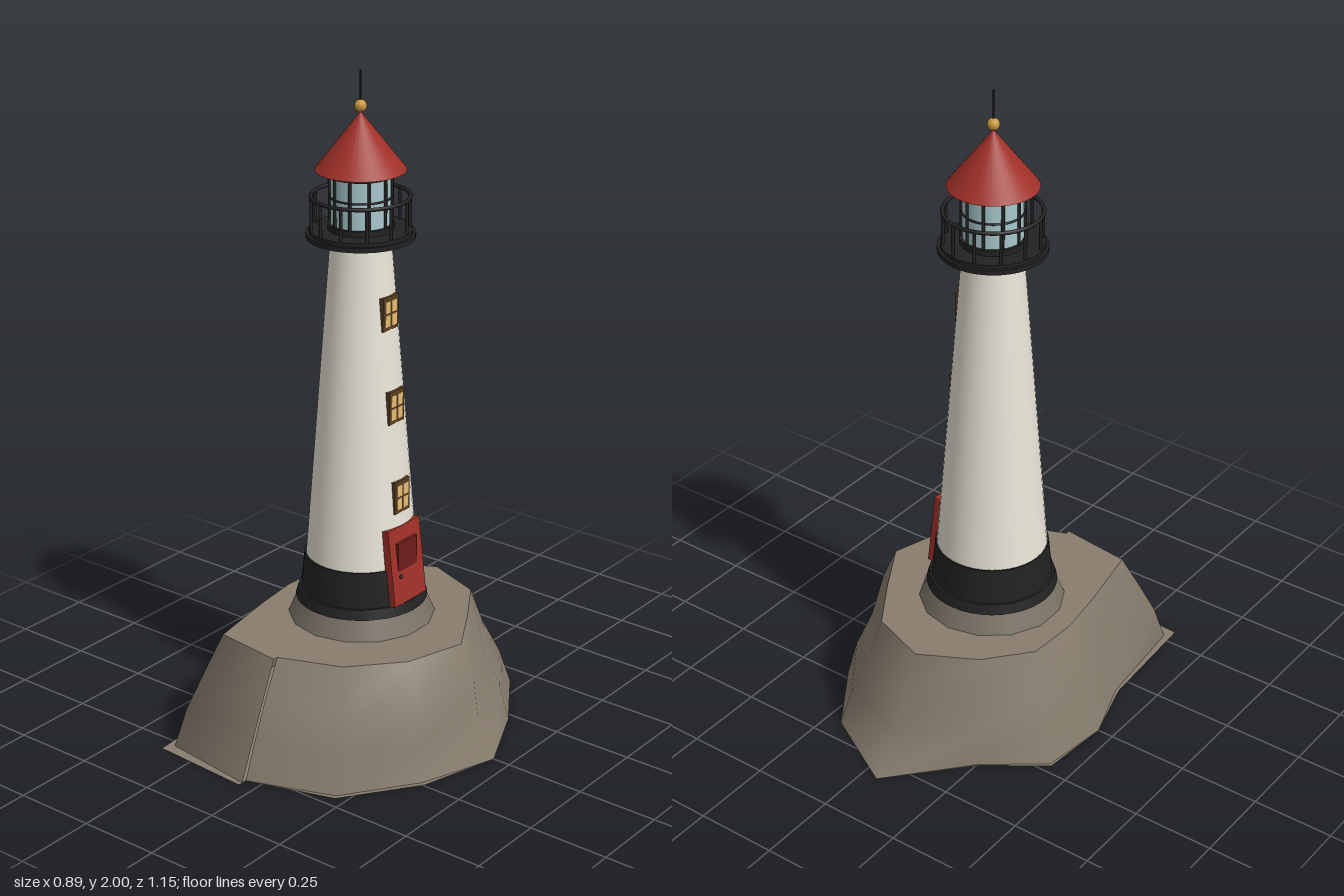
import * as THREE from 'three';

const mat = (color, side = THREE.FrontSide) => new THREE.MeshStandardMaterial({ color, side });
const M = {
  rock: mat(0x887d6e, THREE.DoubleSide),
  plinth: mat(0x7a7266),
  white: mat(0xe9e5d8),
  black: mat(0x222222),
  red: mat(0xa03028),
  darkRed: mat(0x701c1c),
  glass: mat(0xa8c8cc),
  brown: mat(0x5c3c22),
  amber: mat(0xe6bd72),
  gold: mat(0xc9953f),
};

function add(parent, name, geometry, material, x = 0, y = 0, z = 0) {
  const mesh = new THREE.Mesh(geometry, material);
  mesh.name = name;
  mesh.position.set(x, y, z);
  parent.add(mesh);
  return mesh;
}

// Upright drum between two heights
function drum(parent, name, y0, y1, r0, r1, material, sides = 40) {
  return add(parent, name, new THREE.CylinderGeometry(r1, r0, y1 - y0, sides), material, 0, (y0 + y1) / 2, 0);
}

function ring(parent, name, r, tube, y, material) {
  const g = new THREE.TorusGeometry(r, tube, 8, 40);
  g.rotateX(Math.PI / 2);
  return add(parent, name, g, material, 0, y, 0);
}

// Evenly spaced uprights around the tower axis
function uprights(parent, name, count, r, y0, y1, radius, material) {
  for (let i = 0; i < count; i++) {
    const a = ((i + 0.5) / count) * Math.PI * 2;
    add(parent, name, new THREE.CylinderGeometry(radius, radius, y1 - y0, 8), material,
      Math.sin(a) * r, (y0 + y1) / 2, Math.cos(a) * r);
  }
}

// Rock: radii every 30 degrees starting at the front, one row per level
const LEVELS = [0, 0.115, 0.23, 0.34];
const RADII = [
  [0.545, 0.52, 0.475, 0.495, 0.45, 0.50, 0.575, 0.40, 0.43, 0.40, 0.385, 0.60, 0.56],
  [0.50, 0.49, 0.455, 0.435, 0.42, 0.46, 0.47, 0.39, 0.40, 0.365, 0.36, 0.56, 0.51],
  [0.45, 0.45, 0.43, 0.42, 0.37, 0.40, 0.445, 0.365, 0.36, 0.335, 0.335, 0.50, 0.46],
  [0.395, 0.375, 0.365, 0.37, 0.32, 0.36, 0.38, 0.335, 0.32, 0.285, 0.305, 0.44, 0.41],
];
const BASE = [0.545, 0.535, 0.49, 0.495, 0.45, 0.50, 0.575, 0.405, 0.44, 0.40, 0.395, 0.64, 0.575];

function rimPoint(r, i, y) {
  const a = (i * Math.PI) / 6;
  return [Math.sin(a) * r, y, Math.cos(a) * r];
}

function rockSide() {
  const pos = [], idx = [];
  RADII.forEach((row, j) => row.forEach((r, i) => pos.push(...rimPoint(r, i, LEVELS[j]))));
  for (let j = 0; j < 3; j++) for (let i = 0; i < 12; i++) {
    const a = j * 13 + i, b = a + 1, c = a + 13, d = c + 1;
    idx.push(a, b, d, a, d, c);
  }
  return indexed(pos, idx);
}

function rockCap(radii, y, up) {
  const pos = [0, y, 0], idx = [];
  radii.forEach((r, i) => pos.push(...rimPoint(r, i, y)));
  for (let i = 1; i <= 12; i++) idx.push(0, up ? i : i + 1, up ? i + 1 : i);
  return indexed(pos, idx);
}

function indexed(pos, idx) {
  const g = new THREE.BufferGeometry();
  g.setAttribute('position', new THREE.Float32BufferAttribute(pos, 3));
  g.setIndex(idx);
  g.computeVertexNormals();
  return g;
}

// Window with four panes, set upright into the sloping wall
function makeWindow(y) {
  const w = new THREE.Group();
  w.name = 'window';
  const wall = 0.165 - ((y - 0.54) / 0.98) * 0.078;
  w.position.set(wall, y, 0);
  add(w, 'windowFrame', new THREE.BoxGeometry(0.03, 0.1, 0.07), M.brown, -0.011);
  for (const sy of [-1, 1]) for (const sz of [-1, 1]) {
    add(w, 'windowPane', new THREE.BoxGeometry(0.02, 0.035, 0.023), M.amber, -0.004, sy * 0.0205, sz * 0.0145);
  }
  return w;
}

export function createModel() {
  const root = new THREE.Group();
  root.name = 'lighthouse';
  const tower = new THREE.Group();
  tower.name = 'tower';
  tower.position.x = -0.05;
  root.add(tower);

  // Rock island
  add(tower, 'rockSide', rockSide(), M.rock);
  add(tower, 'rockTop', rockCap(RADII[3], 0.34, true), M.rock);
  add(tower, 'rockBase', rockCap(BASE, 0, false), M.rock);

  // Footing and tower
  drum(tower, 'plinth', 0.335, 0.4, 0.222, 0.195, M.plinth, 14);
  drum(tower, 'footRing', 0.4, 0.43, 0.197, 0.188, M.black);
  drum(tower, 'baseBand', 0.43, 0.54, 0.181, 0.17, M.black);
  drum(tower, 'towerWall', 0.53, 1.525, 0.166, 0.087, M.white);

  // Windows
  for (const y of [0.755, 1.03, 1.31]) tower.add(makeWindow(y));

  // Door: leaning surround with an upright leaf
  const surround = new THREE.BoxGeometry(0.06, 0.236, 0.15);
  surround.translate(-0.03, 0, 0);
  add(tower, 'doorSurround', surround, M.red, 0.171, 0.548, 0).rotation.z = Math.atan(0.119);
  add(tower, 'doorLeaf', new THREE.BoxGeometry(0.04, 0.18, 0.09), M.darkRed, 0.153, 0.53, 0);
  add(tower, 'doorKnob', new THREE.SphereGeometry(0.006, 12, 8), M.black, 0.176, 0.515, 0.036);

  // Gallery
  drum(tower, 'galleryDeck', 1.518, 1.532, 0.157, 0.157, M.black);
  drum(tower, 'galleryKerb', 1.532, 1.543, 0.148, 0.148, M.black);
  uprights(tower, 'railPost', 12, 0.141, 1.54, 1.638, 0.005, M.black);
  ring(tower, 'handRail', 0.141, 0.006, 1.638, M.black);

  // Lantern room
  drum(tower, 'lanternGlass', 1.54, 1.715, 0.086, 0.086, M.glass);
  uprights(tower, 'lanternBar', 10, 0.088, 1.54, 1.715, 0.005, M.black);
  drum(tower, 'lanternSill', 1.54, 1.56, 0.095, 0.095, M.black);
  ring(tower, 'lanternMidBar', 0.088, 0.003, 1.638, M.black);
  drum(tower, 'lanternHead', 1.7, 1.717, 0.095, 0.095, M.black);

  // Roof and finial
  add(tower, 'roof', new THREE.ConeGeometry(0.131, 0.168, 32), M.red, 0, 1.799, 0);
  add(tower, 'finialBall', new THREE.SphereGeometry(0.018, 20, 14), M.gold, 0, 1.898, 0);
  drum(tower, 'lightningRod', 1.9, 2.0, 0.0025, 0.0025, M.black, 8);

  return root;
}
